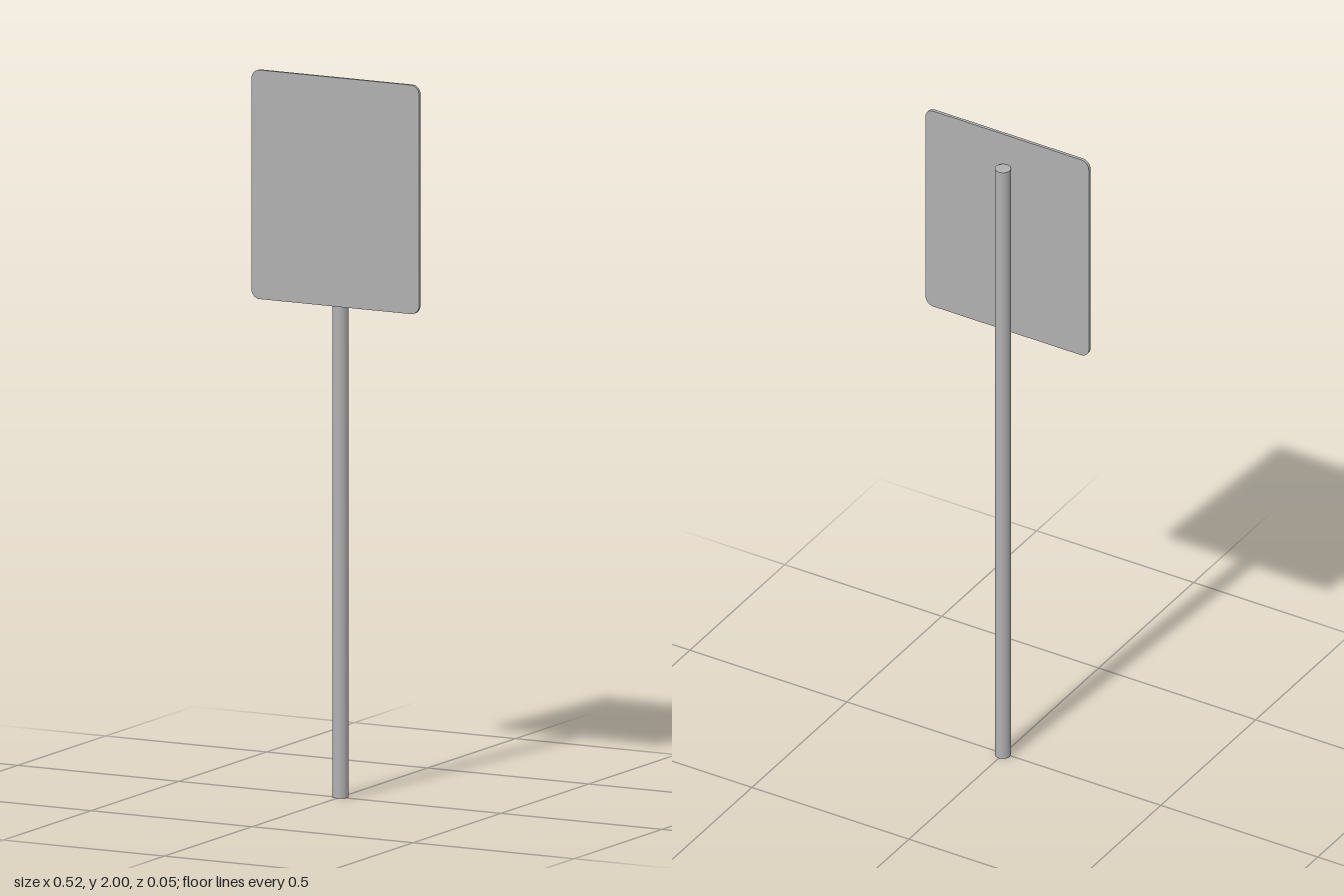
import * as THREE from 'three';

const POLE_RADIUS = 0.022;
const POLE_HEIGHT = 1.905;
const POLE_Z = -0.0045;
const PLATE = { halfWidth: 0.26, bottom: 1.365, top: 2, depth: 0.009, corner: 0.025 };

// Rectangle outline with rounded corners
function roundedRect(x0, y0, x1, y1, r) {
  const s = new THREE.Shape();
  s.absarc(x1 - r, y0 + r, r, -Math.PI / 2, 0);
  s.absarc(x1 - r, y1 - r, r, 0, Math.PI / 2);
  s.absarc(x0 + r, y1 - r, r, Math.PI / 2, Math.PI);
  s.absarc(x0 + r, y0 + r, r, Math.PI, Math.PI * 1.5);
  s.closePath();
  return s;
}

export function createModel() {
  const model = new THREE.Group();
  model.name = 'signpost';
  const metal = new THREE.MeshStandardMaterial({ color: 0xb0b0b0 });
  metal.name = 'grey metal';

  // Round upright, standing on the ground
  const pole = new THREE.Mesh(
    new THREE.CylinderGeometry(POLE_RADIUS, POLE_RADIUS, POLE_HEIGHT, 32), metal);
  pole.name = 'pole';
  pole.position.set(0, POLE_HEIGHT / 2, POLE_Z);

  // Thin blank plate fixed against the front of the pole
  const { halfWidth, bottom, top, depth, corner } = PLATE;
  const plate = new THREE.Mesh(
    new THREE.ExtrudeGeometry(
      roundedRect(-halfWidth, bottom, halfWidth, top, corner),
      { depth, bevelEnabled: false, curveSegments: 8 }), metal);
  plate.name = 'signPlate';
  plate.position.z = POLE_Z + POLE_RADIUS;

  model.add(pole, plate);
  return model;
}
